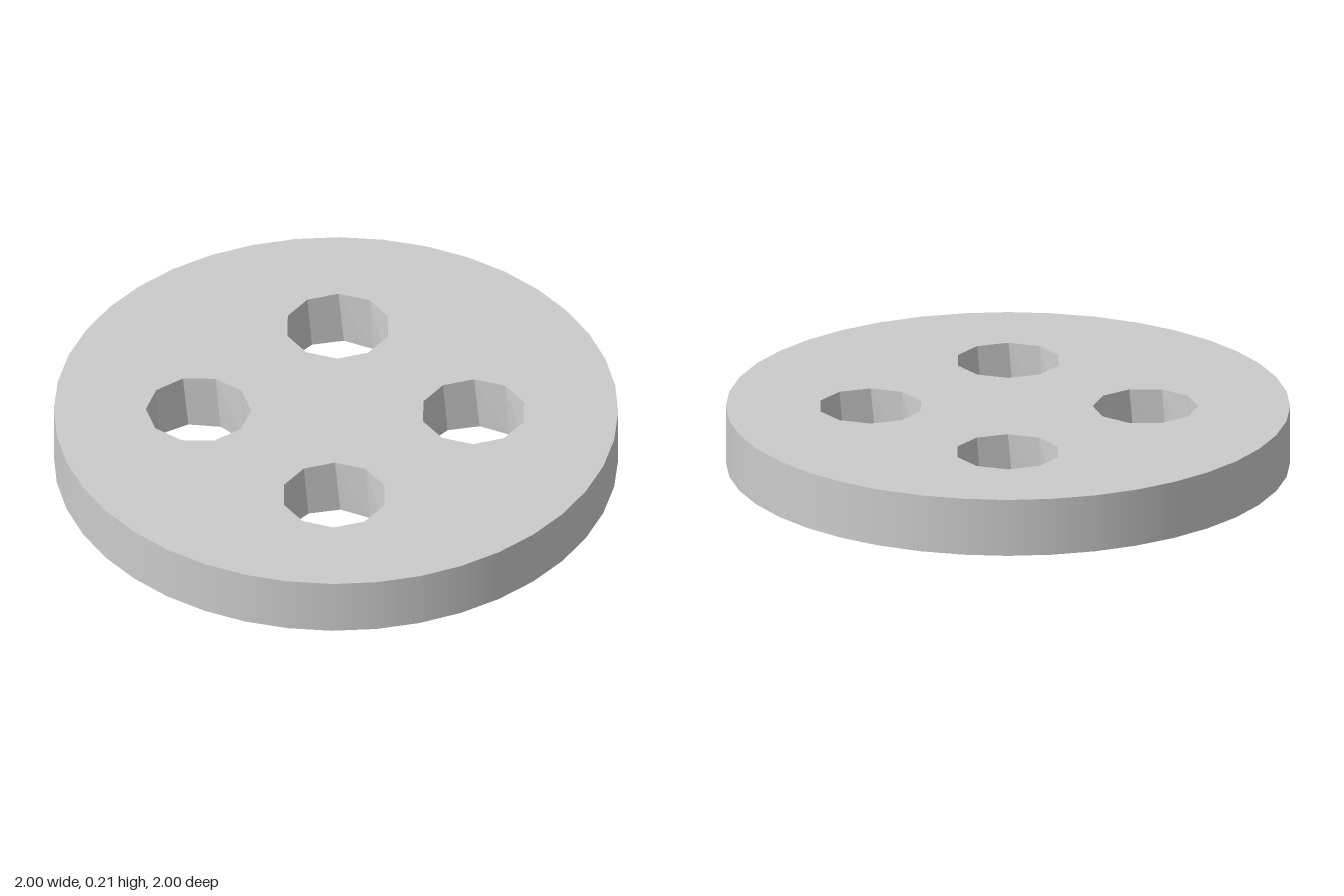
import * as THREE from 'three';

const HEIGHT = 0.21;
const HOLE_OFFSET = 0.487;
const HOLE_RADIUS = 0.187;
const HOLE_TWIST = THREE.MathUtils.degToRad(6);

// Corners of a regular polygon
function polygon(cx, cy, radius, sides, start = 0) {
  return Array.from({ length: sides }, (_, i) => {
    const a = start + (i / sides) * Math.PI * 2;
    return new THREE.Vector2(cx + radius * Math.cos(a), cy + radius * Math.sin(a));
  });
}

export function createModel() {
  // Round plate with four ten-sided holes
  const shape = new THREE.Shape(polygon(0, 0, 1, 40));
  const centres = [[1, 0], [0, 1], [-1, 0], [0, -1]].map(([x, y]) => [x * HOLE_OFFSET, y * HOLE_OFFSET]);
  for (const [x, y] of centres) {
    const start = x < -0.1 ? 0 : Math.PI / 2;
    shape.holes.push(new THREE.Path(polygon(x, y, HOLE_RADIUS, 10, start)));
  }
  const geometry = new THREE.ExtrudeGeometry(shape, { depth: HEIGHT, bevelEnabled: false });
  geometry.rotateX(-Math.PI / 2);

  // Twist the lower rim of each hole slightly about its own centre
  const pos = geometry.attributes.position;
  const cos = Math.cos(HOLE_TWIST), sin = Math.sin(HOLE_TWIST);
  for (let i = 0; i < pos.count; i++) {
    if (pos.getY(i) > HEIGHT / 2) continue;
    const x = pos.getX(i), z = pos.getZ(i);
    const centre = centres.find(([cx, cz]) => Math.hypot(x - cx, z - cz) < HOLE_RADIUS * 1.1);
    if (!centre) continue;
    const dx = x - centre[0], dz = z - centre[1];
    pos.setX(i, centre[0] + dx * cos - dz * sin);
    pos.setZ(i, centre[1] + dx * sin + dz * cos);
  }

  // Flat faces everywhere, smooth radial normals on the outer wall
  geometry.computeVertexNormals();
  const normal = geometry.attributes.normal;
  for (let i = 0; i < pos.count; i++) {
    const x = pos.getX(i), z = pos.getZ(i), r = Math.hypot(x, z);
    if (r > 0.95 && Math.abs(normal.getY(i)) < 0.5) normal.setXYZ(i, x / r, 0, z / r);
  }

  const disc = new THREE.Mesh(geometry, new THREE.MeshStandardMaterial({ color: 0xcccccc }));
  disc.name = 'perforatedDisc';
  const group = new THREE.Group();
  group.name = 'discWithFourHoles';
  group.add(disc);
  return group;
}
